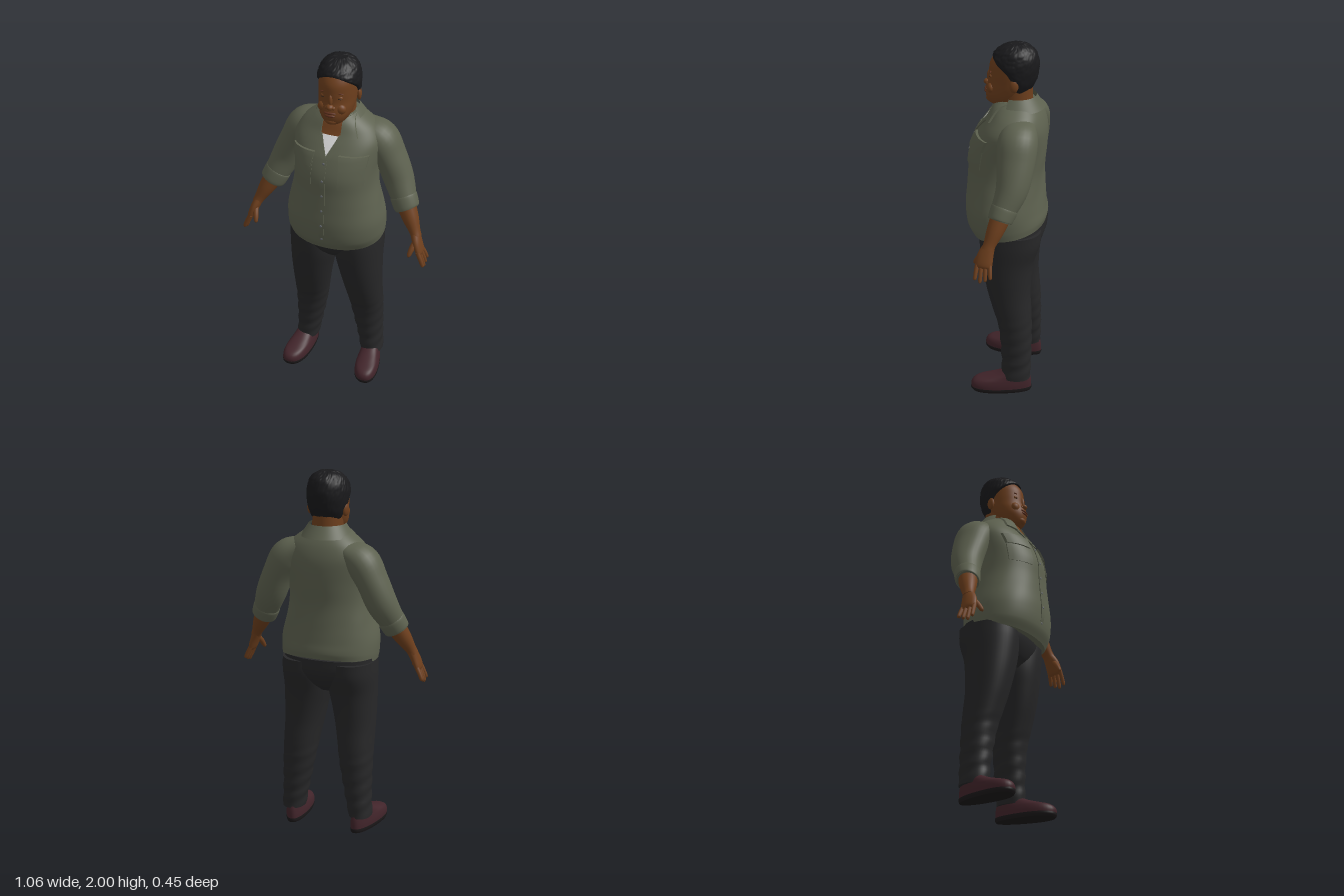
import * as THREE from 'three';

const mat = (name, color, side = THREE.FrontSide) => {
  const m = new THREE.MeshStandardMaterial({ color, side });
  m.name = name;
  return m;
};

// Smooth interpolation of a table of rows; the first entry of a row is its key
function rowAt(rows, k) {
  let i = 0;
  while (i < rows.length - 2 && k > rows[i + 1][0]) i++;
  const a = rows[i], b = rows[i + 1], p = rows[i - 1] || a, q = rows[i + 2] || b;
  const h = b[0] - a[0], t = Math.min(1, Math.max(0, (k - a[0]) / h)), t2 = t * t, t3 = t2 * t;
  return a.map((v, c) => {
    const m0 = (b[c] - p[c]) / (b[0] - p[0]) * h, m1 = (q[c] - v) / (q[0] - a[0]) * h;
    return (2 * t3 - 3 * t2 + 1) * v + (t3 - 2 * t2 + t) * m0 + (3 * t2 - 2 * t3) * b[c] + (t3 - t2) * m1;
  });
}

// Skin over closed rings, capped at both ends
function skin(rings) {
  const n = rings[0].length, pos = [], idx = [];
  const add = (v) => pos.push(v.x, v.y, v.z) / 3 - 1;
  rings.forEach((r) => r.forEach(add));
  for (let i = 0; i < rings.length - 1; i++) for (let j = 0; j < n; j++) {
    const a = i * n + j, b = i * n + (j + 1) % n;
    idx.push(a, a + n, b, b, a + n, b + n);
  }
  [rings[0], rings[rings.length - 1]].forEach((ring, end) => {
    const c = add(ring.reduce((s, v) => s.add(v), new THREE.Vector3()).divideScalar(n));
    ring.forEach(add);
    for (let j = 0; j < n; j++) {
      const a = c + 1 + j, b = c + 1 + (j + 1) % n;
      idx.push(c, end ? b : a, end ? a : b);
    }
  });
  const g = new THREE.BufferGeometry();
  g.setAttribute('position', new THREE.Float32BufferAttribute(pos, 3));
  g.setIndex(idx);
  g.computeVertexNormals();
  return g;
}

const keys = (rows, steps) => rows.slice(0, -1).flatMap((r, i) =>
  Array.from({ length: steps }, (_, s) => r[0] + (rows[i + 1][0] - r[0]) * s / steps)).concat(rows[rows.length - 1][0]);
const spow = (v, p) => Math.sign(v) * Math.abs(v) ** p;

// One point of an upright section: row = [y, centreX, halfWidth, zFront, zBack]
function sectionPoint([y, cx, hw, zf, zb], a, n) {
  return new THREE.Vector3(cx + hw * spow(Math.cos(a), 2 / n), y, (zf + zb) / 2 + (zf - zb) / 2 * spow(Math.sin(a), 2 / n));
}
function loft(rows, { seg = 40, steps = 5, n = 2, deform } = {}) {
  return skin(keys(rows, steps).map((y) => Array.from({ length: seg }, (_, j) => {
    const a = j / seg * Math.PI * 2, v = sectionPoint(rowAt(rows, y), a, n);
    if (deform) deform(v, a);
    return v;
  })));
}

// Limb along a path of [x, y, z, radius, radiusZ]; side mirrors x
function limb(points, side = 1, seg = 20, steps = 5) {
  const rows = points.map(([x, ...r], i) => [i, x * side, ...r]);
  const at = (k) => new THREE.Vector3(...rowAt(rows, k).slice(1, 4));
  return skin(keys(rows, steps).map((k) => {
    const [, , , , ra, rb] = rowAt(rows, k), c = at(k);
    const t = at(k + 0.05).sub(at(k - 0.05)).normalize();
    const b = new THREE.Vector3(0, 0, 1).addScaledVector(t, -t.z).normalize();
    const u = b.clone().cross(t);
    return Array.from({ length: seg }, (_, j) => {
      const a = j / seg * Math.PI * 2;
      return c.clone().addScaledVector(u, ra * Math.cos(a)).addScaledVector(b, -rb * Math.sin(a));
    });
  }));
}

const TORSO = [[0.97, 0, 0.265, 0.18, -0.215], [1.02, 0, 0.27, 0.212, -0.222], [1.1, 0, 0.268, 0.222, -0.214],
  [1.2, 0, 0.247, 0.215, -0.204], [1.3, 0, 0.228, 0.208, -0.2], [1.4, 0, 0.225, 0.203, -0.21], [1.5, 0, 0.235, 0.168, -0.216],
  [1.56, 0, 0.235, 0.13, -0.212], [1.62, 0, 0.2, 0.088, -0.195], [1.67, 0, 0.14, 0.062, -0.168], [1.7, 0, 0.095, 0.04, -0.145]];
const HEAD = [[1.665, 0, 0.035, 0.08, -0.02], [1.68, 0, 0.058, 0.1, -0.05], [1.72, 0, 0.083, 0.114, -0.09],
  [1.76, 0, 0.094, 0.112, -0.12], [1.8, 0, 0.099, 0.1, -0.14], [1.85, 0, 0.102, 0.096, -0.153], [1.9, 0, 0.1, 0.088, -0.155],
  [1.95, 0, 0.083, 0.053, -0.138], [1.975, 0, 0.056, 0.012, -0.108], [1.988, 0, 0.025, -0.03, -0.075]];
const LEG = [[0.085, 0.2, 0.063, 0, -0.162], [0.2, 0.187, 0.071, 0, -0.165], [0.4, 0.168, 0.092, 0.02, -0.165],
  [0.5, 0.16, 0.1, 0.05, -0.16], [0.6, 0.151, 0.109, 0.08, -0.153], [0.7, 0.142, 0.12, 0.103, -0.157],
  [0.8, 0.132, 0.131, 0.12, -0.17], [0.9, 0.13, 0.135, 0.13, -0.2], [0.98, 0.13, 0.132, 0.13, -0.205]];

const frontZ = (rows, x, y, n = 2) => {
  const [, cx, hw, zf, zb] = rowAt(rows, y);
  return (zf + zb) / 2 + (zf - zb) / 2 * Math.max(0, 1 - Math.abs((x - cx) / hw) ** n) ** (1 / n);
};

// Thin cloth panel wrapped on the shirt front; corners: bottom left, bottom right, top right, top left
function panel(c, thick) {
  const g = new THREE.BoxGeometry(1, 1, thick, 8, 16, 1), p = g.attributes.position;
  for (let i = 0; i < p.count; i++) {
    const s = p.getX(i) + 0.5, t = p.getY(i) + 0.5;
    const at = (d) => (c[0][d] * (1 - s) + c[1][d] * s) * (1 - t) + (c[3][d] * (1 - s) + c[2][d] * s) * t;
    p.setXYZ(i, at(0), at(1), frontZ(TORSO, at(0), at(1), 2.2) + p.getZ(i));
  }
  g.computeVertexNormals();
  return g;
}

export function createModel() {
  const model = new THREE.Group();
  const shirt = mat('olive shirt', 0x5d614f, THREE.DoubleSide), trousers = mat('charcoal cloth', 0x272728);
  const skinMat = mat('brown skin', 0x6e3f1d), lipMat = mat('dark lips', 0x5c2f1c), hairMat = mat('black hair', 0x19191b);
  const shoeMat = mat('maroon leather', 0x41242a), soleMat = mat('black sole', 0x1b1819);
  const white = mat('white undershirt', 0xdcdcdc), buttonMat = mat('grey button', 0x676b70);
  const add = (name, geo, material) => {
    const m = new THREE.Mesh(geo, material);
    m.name = name;
    model.add(m);
    return m;
  };
  const ball = (name, material, p, s) => {
    const m = add(name, new THREE.SphereGeometry(1, 20, 14), material);
    m.position.set(...p);
    m.scale.set(...s);
    return m;
  };

  // Shirt body, hem higher at the back, with soft folds
  add('shirtBody', loft(TORSO, { seg: 64, n: 2.2, deform: (v, a) => {
    const fold = 0.003 * Math.sin(a * 7 + v.y * 16) * Math.max(0, 1 - Math.abs(v.y - 1.2) / 0.25);
    v.x += fold * Math.cos(a);
    v.z += Math.sin(a) < 0 ? fold * Math.sin(a) : 0;
    v.y -= 0.18 * v.z * Math.max(0, 1 - (v.y - 0.97) / 0.12);
  } }), shirt);
  add('placket', panel([[-0.022, 0.955], [0.008, 0.955], [0.008, 1.515], [-0.022, 1.515]], 0.008), shirt);
  for (let i = 0; i < 6; i++) {
    const y = 1.02 + i * 0.092;
    ball('button', buttonMat, [-0.007, y, frontZ(TORSO, -0.007, y, 2.2) + 0.005], [0.007, 0.007, 0.003]);
  }

  // Open neckline
  add('neckSkin', panel([[-0.05, 1.6], [0.05, 1.6], [0.06, 1.7], [-0.06, 1.7]], 0.006), skinMat);
  add('undershirt', panel([[-0.008, 1.515], [-0.004, 1.515], [0.046, 1.61], [-0.052, 1.61]], 0.009), white);
  const collar = add('backCollar', new THREE.CylinderGeometry(0.09, 0.13, 0.065, 40, 3, true, Math.PI - 1.9, 3.8), shirt);
  collar.position.set(0, 1.69, -0.055);
  collar.scale.set(1.1, 1, 1.12);

  // Head, neck and face
  add('neck', limb([[0, 1.57, -0.055, 0.09, 0.09], [0, 1.66, -0.05, 0.083, 0.088], [0, 1.78, -0.045, 0.083, 0.09]], 1, 32), skinMat);
  add('head', loft(HEAD, { seg: 48 }), skinMat);
  ball('noseTip', skinMat, [0, 1.782, 0.104], [0.02, 0.016, 0.022]);
  ball('noseBridge', skinMat, [0, 1.812, 0.092], [0.012, 0.036, 0.017]);
  ball('upperLip', lipMat, [0, 1.749, 0.107], [0.034, 0.008, 0.013]);
  ball('lowerLip', lipMat, [0, 1.734, 0.107], [0.03, 0.009, 0.014]);
  ball('chin', skinMat, [0, 1.695, 0.085], [0.035, 0.022, 0.028]);

  // Cropped curly hair following the skull, lower at the nape
  const hairRings = Array.from({ length: 29 }, (_, i) => Array.from({ length: 96 }, (_, j) => {
    const a = j / 96 * Math.PI * 2, f = Math.sin(a), t = Math.sin(i / 28 * Math.PI / 2);
    const low = f > 0 ? 1.84 + 0.095 * f ** 0.8 : 1.84 - 0.1 * Math.min(1, -f * 1.6);
    const y = low + (1.988 - low) * t, v = sectionPoint(rowAt(HEAD, y), a, 2);
    const curl = 0.0025 * Math.sin(a * 22 + 2 * Math.sin(y * 90)) * Math.sin(y * 190 + 3 * Math.sin(a * 9));
    const out = i === 0 ? 0.001 : (0.013 + curl) * Math.min(1, 0.6 + i * 0.1);
    return v.add(new THREE.Vector3(out * Math.cos(a), 0.011 * t + curl * t * 0.7, out * f));
  }));
  add('hair', skin(hairRings), hairMat);

  for (const s of [1, -1]) {
    // Face and collar sides
    ball('ear', skinMat, [s * 0.102, 1.8, -0.052], [0.014, 0.036, 0.024]).rotation.y = s * 0.3;
    ball('nostril', skinMat, [s * 0.017, 1.776, 0.097], [0.012, 0.011, 0.014]);
    ball('cheek', skinMat, [s * 0.045, 1.765, 0.075], [0.032, 0.03, 0.025]);
    ball('eyelid', skinMat, [s * 0.04, 1.83, 0.077], [0.021, 0.012, 0.011]);
    ball('eyeLine', hairMat, [s * 0.04, 1.826, 0.083], [0.016, 0.0025, 0.006]);
    ball('eyebrow', lipMat, [s * 0.042, 1.856, 0.079], [0.024, 0.004, 0.006]).rotation.z = -s * 0.1;
    const quad = (pts) => {
      const q = pts.map(([x, y]) => [x * s, y]);
      return s > 0 ? q : [q[1], q[0], q[3], q[2]];
    };
    add('collarFlap', panel(quad([[0.055, 1.6], [0.14, 1.605], [0.098, 1.7], [0.052, 1.695]]), 0.024), shirt);
    add('lapel', panel(quad([[-0.004, 1.505], [0.02, 1.505], [0.09, 1.61], [0.046, 1.615]]), 0.018), shirt);
    add('chestPocket', panel(quad([[0.075, 1.35], [0.195, 1.35], [0.2, 1.5], [0.072, 1.5]]), 0.008), shirt);
    add('pocketFlap', panel(quad([[0.08, 1.455], [0.2, 1.458], [0.208, 1.52], [0.066, 1.53]]), 0.028), shirt);

    // Sleeve with rolled cuff
    add('sleeve', limb([[0.13, 1.59, -0.085, 0.06, 0.09], [0.21, 1.535, -0.09, 0.092, 0.106], [0.267, 1.44, -0.09, 0.084, 0.1],
      [0.318, 1.32, -0.08, 0.083, 0.086], [0.365, 1.22, -0.045, 0.07, 0.068], [0.388, 1.17, -0.03, 0.062, 0.06]], s, 28), shirt);
    add('cuff', limb([[0.358, 1.232, -0.05, 0.068, 0.066], [0.364, 1.22, -0.046, 0.074, 0.071],
      [0.386, 1.175, -0.03, 0.071, 0.066], [0.391, 1.165, -0.027, 0.064, 0.06]], s, 28), shirt);

    // Forearm, palm, fingers and thumb
    add('forearm', limb([[0.375, 1.2, -0.037, 0.055, 0.055], [0.418, 1.12, -0.008, 0.045, 0.046],
      [0.45, 1.06, 0.014, 0.031, 0.034], [0.465, 1.03, 0.024, 0.027, 0.034]], s), skinMat);
    add('palm', limb([[0.455, 1.05, 0.017, 0.026, 0.032], [0.475, 1.0, 0.034, 0.024, 0.043],
      [0.492, 0.955, 0.04, 0.02, 0.045], [0.497, 0.938, 0.042, 0.012, 0.038]], s), skinMat);
    [-1.5, -0.5, 0.5, 1.5].forEach((k) => {
      const z = 0.041 + k * 0.022, len = 0.085 - Math.abs(k - 0.3) * 0.013;
      add('finger', limb([[0.489, 0.96, z, 0.013, 0.012], [0.508, 0.955 - len * 0.5, z + k * 0.003, 0.012, 0.011],
        [0.522, 0.955 - len, z + k * 0.005, 0.01, 0.009], [0.525, 0.949 - len, z + k * 0.005, 0.004, 0.004]], s, 10, 3), skinMat);
    });
    add('thumb', limb([[0.466, 1.01, 0.045, 0.016, 0.016], [0.455, 0.975, 0.075, 0.015, 0.014],
      [0.447, 0.945, 0.093, 0.011, 0.011], [0.445, 0.935, 0.097, 0.004, 0.004]], s, 10, 4), skinMat);

    // Trouser leg with creases below the knee
    const legRows = LEG.map(([y, cx, ...r]) => [y, s * cx - 0.009, ...r]);
    add('trouserLeg', loft(legRows, { n: 2.15, steps: 8, deform: (v, a) => {
      const fold = 0.004 * Math.sin(v.y * 75 + a * 2) * Math.max(0, 1 - Math.abs(v.y - 0.25) / 0.25);
      v.x += fold * Math.cos(a);
      v.z += fold * Math.sin(a);
    } }), trousers);

    // Shoe, wider at the toe and turned out
    const foot = (v) => {
      v.x = s * (0.21 + v.x * (1 + 1.2 * v.z) + 0.12 * v.z) - 0.012;
    };
    const shoe = (name, rows, material) => {
      const r = s > 0 ? rows : rows.map(([y, cx, hw, ...z]) => [y, cx, -hw, ...z]);
      add(name, loft(r, { n: 2.3, steps: 4, deform: foot }), material);
    };
    shoe('shoeSole', [[0, 0, 0.062, 0.162, -0.165], [0.012, 0, 0.066, 0.17, -0.17], [0.024, 0, 0.066, 0.17, -0.17]], soleMat);
    shoe('shoeUpper', [[0.018, 0, 0.065, 0.168, -0.168], [0.045, 0, 0.065, 0.168, -0.168], [0.07, 0, 0.061, 0.145, -0.166],
      [0.088, 0, 0.056, 0.085, -0.162], [0.105, 0, 0.052, 0.03, -0.157], [0.125, 0, 0.046, -0.015, -0.15]], shoeMat);
  }

  // Seat of the trousers joining both legs
  add('trouserSeat', loft([[0.8, -0.008, 0.08, 0.06, -0.11], [0.85, -0.008, 0.17, 0.105, -0.165],
    [0.92, -0.008, 0.25, 0.135, -0.205], [1.0, -0.008, 0.255, 0.14, -0.21]], { n: 2.3 }), trousers);

  return model;
}
